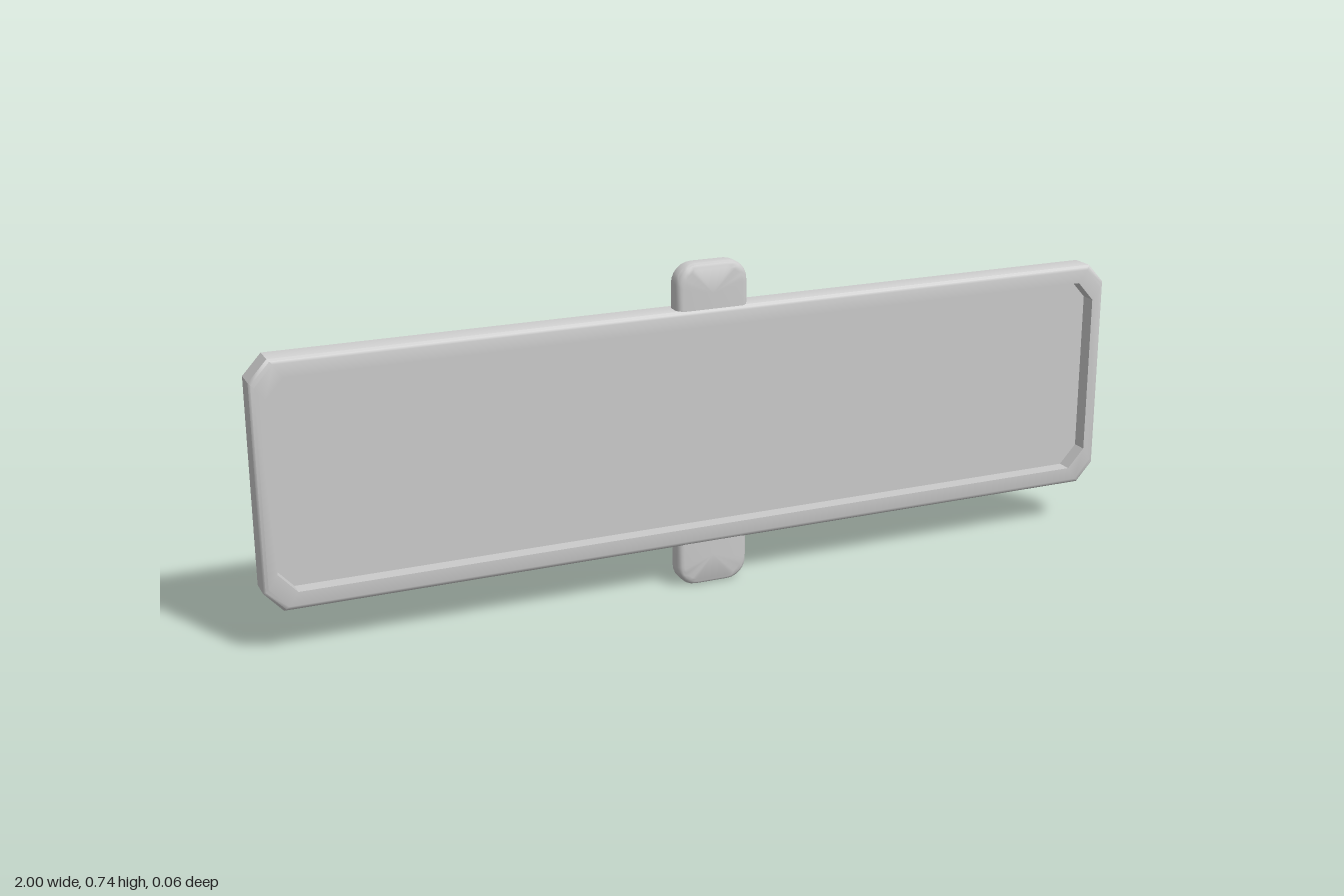
import * as THREE from 'three';
import { toCreasedNormals } from 'three/addons/utils/BufferGeometryUtils.js';

const MID_Y = 0.3675;
const material = new THREE.MeshStandardMaterial({ color: 0xcccccc, side: THREE.DoubleSide });

// Skin between closed rings of [x, y, z] points, counter-clockwise seen from the front
function loft(rings, crease) {
  const pos = [];
  const n = rings[0].length;
  for (let k = 0; k < rings.length - 1; k++) {
    for (let i = 0; i < n; i++) {
      const j = (i + 1) % n;
      const a = rings[k][i], b = rings[k][j], c = rings[k + 1][j], d = rings[k + 1][i];
      pos.push(...a, ...b, ...c, ...a, ...c, ...d);
    }
  }
  const geo = new THREE.BufferGeometry();
  geo.setAttribute('position', new THREE.Float32BufferAttribute(pos, 3));
  return toCreasedNormals(geo, crease);
}

// Rectangle with clipped corners
function octagon(hx, hy, z) {
  const cx = hx - 0.04, cy = hy - 0.044;
  return [[hx, -cy], [hx, cy], [cx, hy], [-cx, hy], [-hx, cy], [-hx, -cy], [-cx, -hy], [cx, -hy]]
    .map(([x, y]) => [x, y, z]);
}

// Tab outline: straight base, two rounded corners at the outer end
function tabOutline(inset, z) {
  const hw = 0.083 - inset, top = MID_Y - inset, r = 0.045 - inset * 0.5;
  const base = 0.25;
  const pts = [[-hw, base, z], [hw, base, z]];
  for (const side of [1, -1]) {
    for (let i = 0; i <= 6; i++) {
      const t = (side > 0 ? 0 : Math.PI / 2) + (i / 6) * Math.PI / 2;
      pts.push([side * (hw - r) + r * Math.cos(t), top - r + r * Math.sin(t), z]);
    }
  }
  return pts;
}

export function createModel() {
  const group = new THREE.Group();
  const add = (name, geo) => {
    const mesh = new THREE.Mesh(geo, material);
    mesh.name = name;
    mesh.position.y = MID_Y;
    group.add(mesh);
    return mesh;
  };

  // Frame: thin outer wall, eased front edge, flat lip, then a return to the panel
  const frameProfile = [[0, -0.03], [0, 0.022], [0.004, 0.0275], [0.01, 0.03]];
  const frameRings = frameProfile.map(([inset, z]) => octagon(1 - inset, 0.2675 - inset, z));
  frameRings.push(octagon(0.97, 0.228, 0.03), octagon(0.97, 0.228, -0.005));
  add('frame', loft(frameRings, 0.7));

  // Recessed panel
  const panelShape = new THREE.Shape(octagon(0.97, 0.228, 0).map(([x, y]) => new THREE.Vector2(x, y)));
  add('panel', new THREE.ShapeGeometry(panelShape).translate(0, 0, -0.005));

  // Hollow tabs above and below, open at the back
  const tabRings = [[0, -0.013], [0, 0.012], [0.003, 0.019], [0.008, 0.0228], [0.014, 0.024]]
    .map(([inset, z]) => tabOutline(inset, z));
  tabRings.push(tabRings[0].map(() => [0, 0.3, 0.024]));
  const tabGeo = loft(tabRings, 0.8);
  add('topTab', tabGeo);
  add('bottomTab', tabGeo).rotation.z = Math.PI;

  return group;
}
